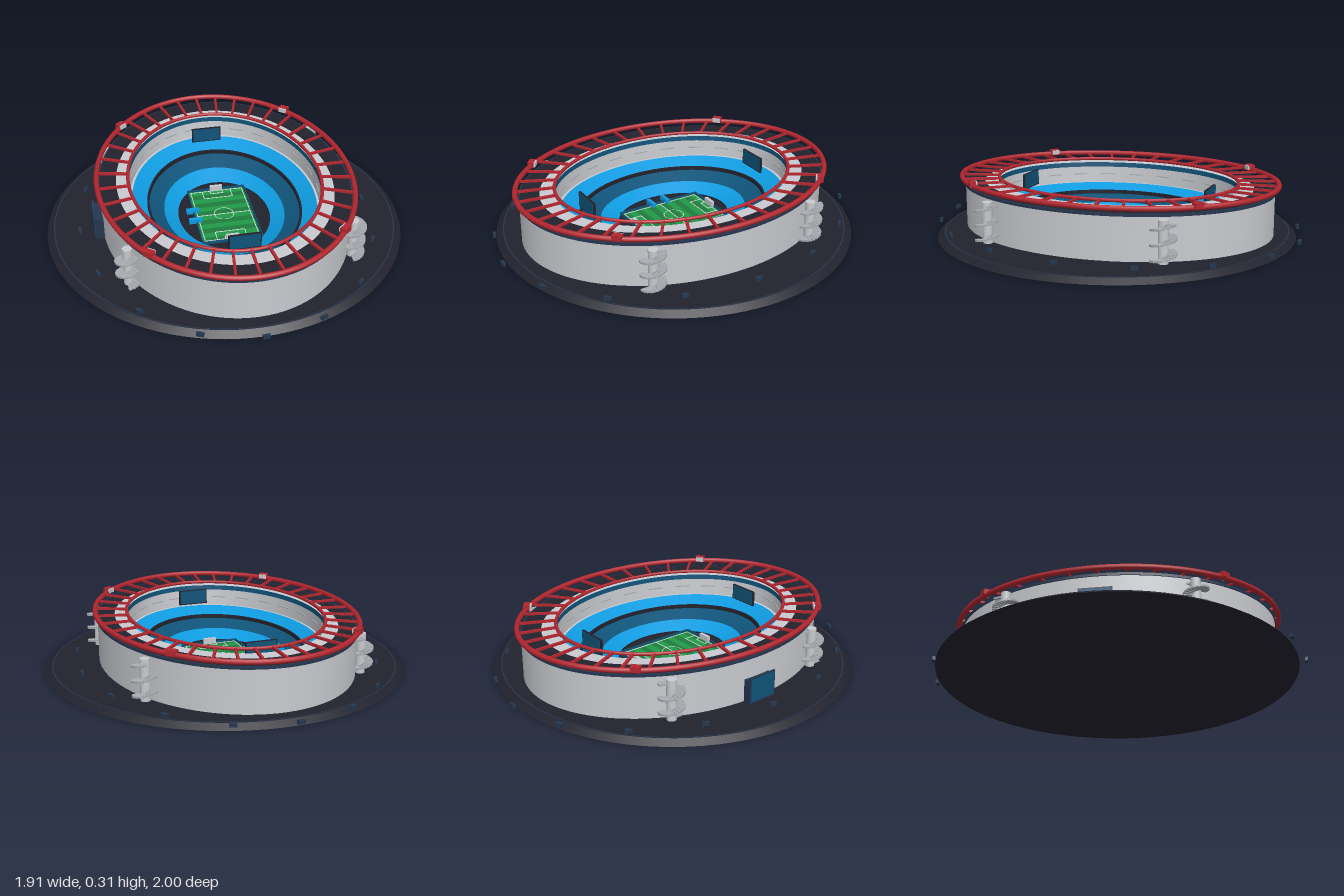
import * as THREE from 'three';

const mat = (name, color) => new THREE.MeshStandardMaterial({ name, color, side: THREE.DoubleSide });
const M = {
  dark: mat('charcoal', 0x22222e),
  navy: mat('navy', 0x25364f),
  wall: mat('concrete', 0xc8cacf),
  red: mat('red steel', 0xb3262f),
  blue: mat('seat blue', 0x0f9be0),
  deep: mat('deep blue', 0x0f5379),
  grass: mat('grass', 0x209a48),
  darkGrass: mat('dark grass', 0x1f7c3d),
  line: mat('white paint', 0xe6e8ea),
  steel: mat('steel', 0xa9adb1),
};

const N = 96;
const onEllipse = (rx, rz, t, y = 0) => new THREE.Vector3(rx * Math.sin(t), y, rz * Math.cos(t));

export function createModel() {
  const model = new THREE.Group();
  model.name = 'stadium';

  const add = (name, geo, material, x = 0, y = 0, z = 0, ry = 0, parent = model) => {
    const mesh = new THREE.Mesh(geo, material);
    mesh.name = name;
    mesh.position.set(x, y, z);
    mesh.rotation.y = ry;
    parent.add(mesh);
    return mesh;
  };
  const box = (name, w, h, d, material, x, y, z, ry = 0, parent = model) =>
    add(name, new THREE.BoxGeometry(w, h, d), material, x, y, z, ry, parent);
  const group = (name) => {
    const g = new THREE.Group();
    g.name = name;
    model.add(g);
    return g;
  };

  // Elliptical strips through rings [rx, rz, y], with a hard edge at each ring
  const band = (name, rings, material) => {
    const pos = [], idx = [];
    for (let j = 0; j + 1 < rings.length; j++) {
      const base = pos.length / 3;
      for (const [rx, rz, y] of [rings[j], rings[j + 1]])
        for (let i = 0; i < N; i++) pos.push(...onEllipse(rx, rz, (i / N) * Math.PI * 2, y).toArray());
      for (let i = 0; i < N; i++) {
        const a = base + i, b = base + (i + 1) % N;
        idx.push(a, b, b + N, a, b + N, a + N);
      }
    }
    const geo = new THREE.BufferGeometry();
    geo.setAttribute('position', new THREE.Float32BufferAttribute(pos, 3));
    geo.setIndex(idx);
    geo.computeVertexNormals();
    return add(name, geo, material);
  };
  const hoop = (name, rx, rz, y, r, material) => {
    const pts = Array.from({ length: 48 }, (_, i) => onEllipse(rx, rz, (i / 48) * Math.PI * 2, y));
    add(name, new THREE.TubeGeometry(new THREE.CatmullRomCurve3(pts, true), N, r, 8, true), material);
  };

  // Round plaza with a thin kerb line
  add('plaza', new THREE.CylinderGeometry(0.92, 0.955, 0.025, 96), M.dark, 0, 0.0125, 0);
  band('plazaKerb', [[0.918, 0.918, 0.027], [0.912, 0.912, 0.027]], M.navy);

  // Outer shell and roof
  band('outerWall', [[0.66, 0.845, 0.02], [0.66, 0.845, 0.246]], M.wall);
  band('wallCornice', [[0.66, 0.845, 0.246], [0.665, 0.85, 0.246], [0.665, 0.85, 0.26], [0.655, 0.84, 0.261]], M.navy);
  band('roofOuter', [[0.657, 0.842, 0.261], [0.57, 0.737, 0.262]], M.dark);
  band('roofInner', [[0.57, 0.737, 0.262], [0.508, 0.66, 0.262]], M.wall);
  band('roofFascia', [[0.508, 0.66, 0.262], [0.506, 0.658, 0.236]], M.deep);

  // Bowl, from the back wall down to the pitch
  band('backWall', [[0.506, 0.658, 0.236], [0.502, 0.65, 0.146], [0.49, 0.635, 0.146]], M.wall);
  band('upperTier', [[0.49, 0.635, 0.146], [0.412, 0.53, 0.112]], M.blue);
  band('tierParapet', [[0.412, 0.53, 0.112], [0.409, 0.527, 0.12], [0.4, 0.515, 0.12], [0.4, 0.515, 0.1]], M.dark);
  band('middleTier', [[0.4, 0.515, 0.1], [0.322, 0.412, 0.068]], M.deep);
  band('lowerTier', [[0.322, 0.412, 0.068], [0.247, 0.312, 0.032]], M.blue);
  band('lowerParapet', [[0.247, 0.312, 0.032], [0.247, 0.312, 0.024]], M.dark);

  // Slim rails on the back wall
  const rails = group('wallRails');
  for (let i = 0; i < 24; i++) {
    const t = ((i + 0.5) / 24) * Math.PI * 2, p = onEllipse(0.5, 0.648, t);
    const ry = Math.atan2(-0.648 * -Math.sin(t), 0.5 * Math.cos(t));
    box('wallRail', 0.08, 0.005, 0.006, M.steel, p.x, 0.195, p.z, ry, rails);
  }

  // Red roof hoops and rafters
  hoop('outerHoop', 0.672, 0.865, 0.287, 0.014, M.red);
  hoop('innerHoop', 0.507, 0.657, 0.284, 0.009, M.red);
  const rafters = group('rafters');
  for (let i = 0; i < 36; i++) {
    const t = (i / 36) * Math.PI * 2;
    const a = onEllipse(0.507, 0.657, t), b = onEllipse(0.67, 0.862, t);
    const d = b.clone().sub(a), c = a.add(b).multiplyScalar(0.5);
    box('rafter', 0.013, 0.012, d.length(), M.red, c.x, 0.284, c.z, Math.atan2(d.x, d.z), rafters);
  }

  // Four floodlights with lamps facing the pitch
  for (const sx of [-1, 1]) for (const sz of [-1, 1]) {
    const g = group('floodlight');
    g.position.set(sx * 0.482, 0.297, sz * 0.605);
    g.rotation.y = Math.atan2(-sx * 0.482, -sz * 0.605);
    box('floodlightHousing', 0.05, 0.03, 0.032, M.red, 0, 0, 0, 0, g);
    box('floodlightLamp', 0.044, 0.024, 0.009, M.wall, 0, 0, 0.02, 0, g);
  }

  // Four stair towers with spiral ramps
  for (const sx of [-1, 1]) for (const sz of [-1, 1]) {
    const g = group('spiralTower');
    g.position.set(sx * 0.575, 0, sz * 0.468);
    add('towerCore', new THREE.CylinderGeometry(0.025, 0.025, 0.212, 20), M.wall, 0, 0.131, 0, 0, g);
    const steps = 60;
    for (let i = 0; i < steps; i++) {
      const t = (i / 24) * Math.PI * 2;
      box('rampStep', 0.019, 0.009, 0.045, M.steel,
        Math.sin(t) * 0.043, 0.032 + (i / steps) * 0.19, Math.cos(t) * 0.043, t, g);
    }
  }

  // Scoreboards under the roof at both ends
  for (const s of [-1, 1]) {
    box('scoreboard', 0.166, 0.084, 0.012, M.dark, 0, 0.232, s * 0.517);
    for (const f of [-1, 1])
      box('scoreboardScreen', 0.154, 0.074, 0.004, M.deep, 0, 0.234, s * 0.517 + f * 0.007);
  }

  // Entrance block on the right-hand wall
  box('entranceBlock', 0.05, 0.12, 0.16, M.navy, -0.672, 0.084, 0);
  box('entranceScreen', 0.009, 0.14, 0.166, M.navy, -0.697, 0.094, 0);
  box('entranceGlass', 0.004, 0.12, 0.15, M.deep, -0.703, 0.096, 0);

  // Ring of small kiosks
  const kiosks = group('kiosks');
  for (let i = 0; i < 16; i++) {
    const t = (i / 16) * Math.PI * 2, p = onEllipse(0.78, 0.992, t);
    box('kiosk', 0.036, 0.02, 0.015, M.navy, p.x, 0.034, p.z, t, kiosks);
  }

  // Striped pitch
  const pitch = group('pitch');
  for (let i = 0; i < 12; i++)
    box('grassStripe', 0.31, 0.008, 0.47 / 12, i % 2 ? M.darkGrass : M.grass, 0, 0.029, -0.235 + (i + 0.5) * 0.47 / 12, 0, pitch);

  // Pitch markings
  const Y = 0.034, W = 0.004;
  const mark = (w, d, x, z) => box('pitchLine', w, 0.002, d, M.line, x, Y, z, 0, pitch);
  mark(0.29, W, 0, 0);
  for (const s of [-1, 1]) {
    mark(W, 0.45, s * 0.145, 0);
    mark(0.29, W, 0, s * 0.225);
    mark(0.16, W, 0, s * 0.158);
    mark(0.07, W, 0, s * 0.2);
    for (const k of [-1, 1]) {
      mark(W, 0.067, k * 0.08, s * 0.191);
      mark(W, 0.025, k * 0.035, s * 0.2125);
    }
  }
  const circle = new THREE.RingGeometry(0.051, 0.055, 40).rotateX(-Math.PI / 2);
  add('centreCircle', circle, M.line, 0, Y + 0.001, 0, 0, pitch);

  // Goals, perimeter boards and dugouts
  for (const s of [-1, 1]) {
    box('goal', 0.07, 0.035, 0.018, M.wall, 0, 0.047, s * 0.232);
    box('sideBoard', 0.006, 0.016, 0.488, M.deep, s * 0.16, 0.034, 0);
    box('endBoard', 0.32, 0.016, 0.006, M.deep, 0, 0.034, s * 0.241);
    box('dugout', 0.07, 0.026, 0.022, M.blue, -0.165, 0.042, s * 0.045);
  }

  return model;
}
